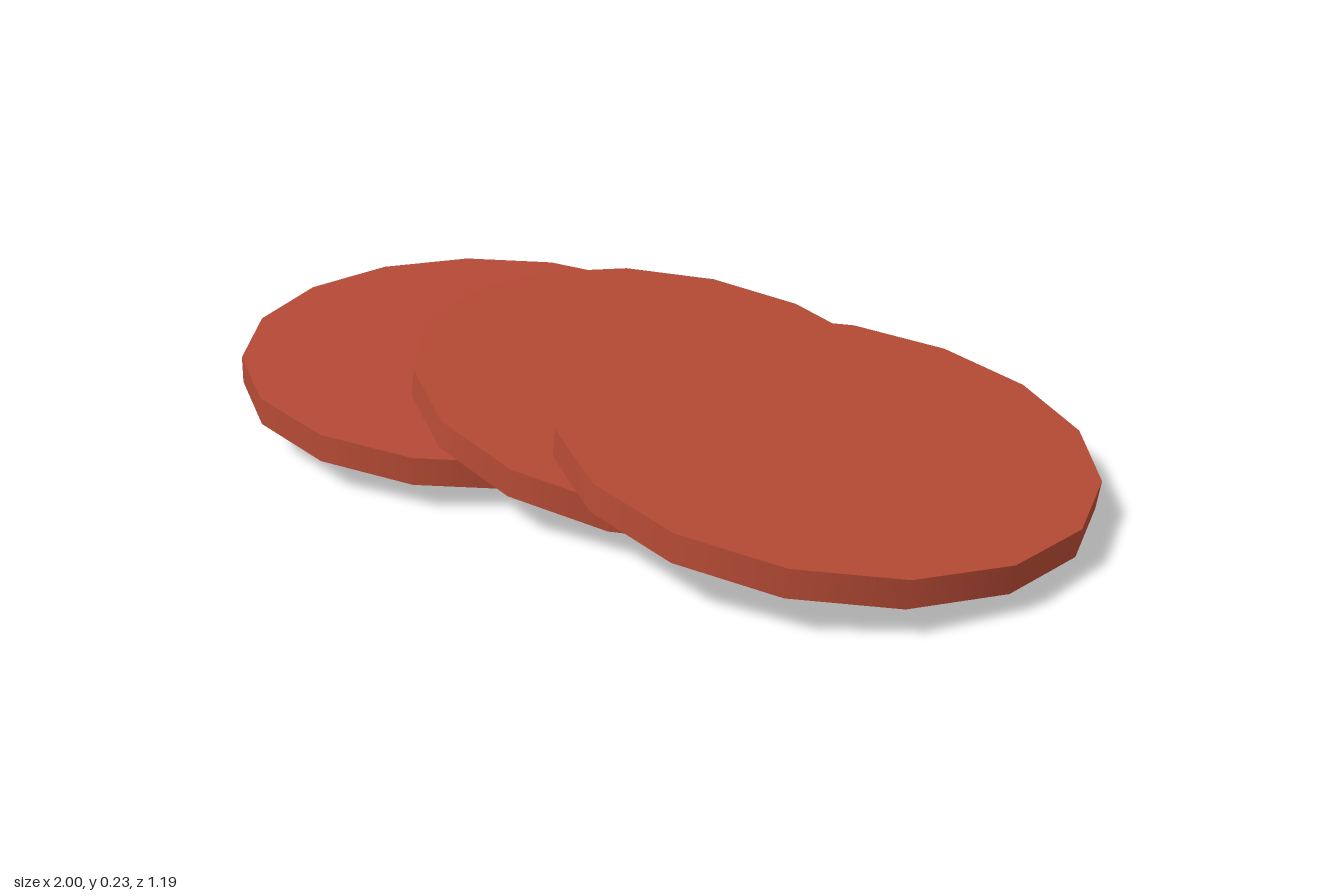
import * as THREE from 'three';

const RADIUS = 0.56, THICKNESS = 0.062, SIDES = 16;

// Centre and tilt (degrees) of each overlapping slice
const SLICES = [
  { name: 'lowerSlice', position: [-0.44, 0.1, 0.03], tilt: [-0.4, 1, -3.1] },
  { name: 'middleSlice', position: [0.01, 0.116, -0.04], tilt: [-1, 0.8, -8.5] },
  { name: 'upperSlice', position: [0.438, 0.127, 0.015], tilt: [-1.7, 0.7, -5.8] },
];

export function createModel() {
  const group = new THREE.Group();
  group.name = 'overlappingSlices';
  const material = new THREE.MeshStandardMaterial({ color: 0xb54a35 });
  const disc = new THREE.CylinderGeometry(RADIUS, RADIUS, THICKNESS, SIDES);

  for (const { name, position, tilt } of SLICES) {
    const slice = new THREE.Mesh(disc, material);
    slice.name = name;
    slice.position.set(...position);
    slice.rotation.set(...tilt.map(THREE.MathUtils.degToRad));
    group.add(slice);
  }
  return group;
}
